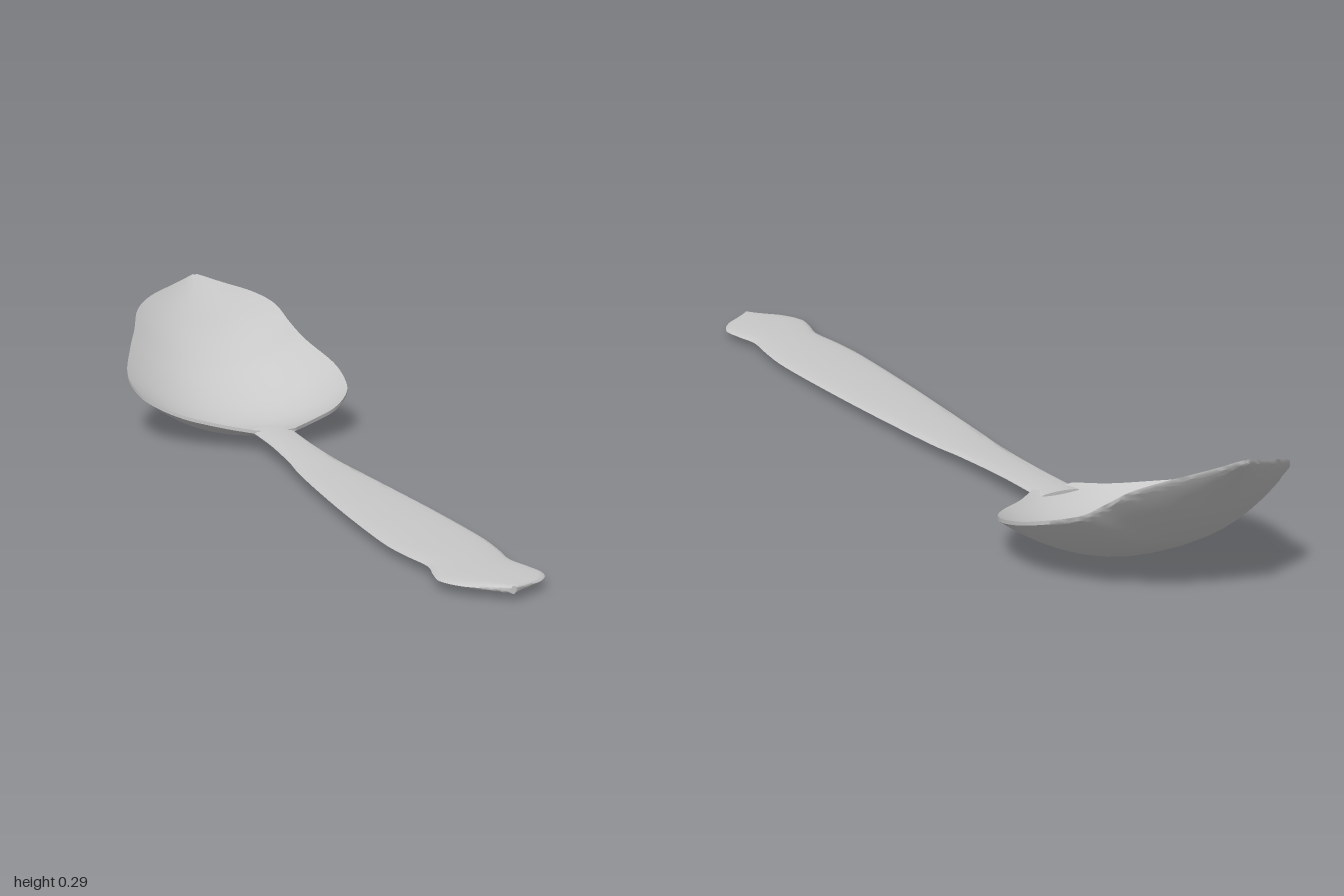
import * as THREE from 'three';
import { toCreasedNormals } from 'three/addons/utils/BufferGeometryUtils.js';

// Skin a list of closed rings (counterclockwise seen from +z, ordered towards +z)
function loft(rings, crease) {
  const n = rings[0].length;
  const centre = (ring) => {
    const c = ring.reduce((s, p) => s.add(p), new THREE.Vector3()).divideScalar(n);
    return ring.map(() => c);
  };
  const all = [centre(rings[0]), ...rings, centre(rings[rings.length - 1])];
  const pos = all.flat().flatMap((p) => [p.x, p.y, p.z]);
  const idx = [];
  for (let i = 0; i < all.length - 1; i++) {
    for (let j = 0; j < n; j++) {
      const a = i * n + j, b = i * n + ((j + 1) % n);
      if (i > 0) idx.push(a, b, b + n);
      if (i < all.length - 2) idx.push(a, b + n, a + n);
      if (i === 0) idx.push(a, b + n, a + n);
      if (i === all.length - 2) idx.push(a, b, b + n);
    }
  }
  const g = new THREE.BufferGeometry();
  g.setAttribute('position', new THREE.Float32BufferAttribute(pos, 3));
  // the end fans may repeat a triangle; keep each one once
  const seen = new Set(), clean = [];
  for (let k = 0; k < idx.length; k += 3) {
    const key = idx.slice(k, k + 3).join();
    if (!seen.has(key)) { seen.add(key); clean.push(idx[k], idx[k + 1], idx[k + 2]); }
  }
  g.setIndex(clean);
  return toCreasedNormals(g, crease);
}

// Smooth stations from rows of [z, half width, low y, high y]
function stations(rows, count) {
  const low = new THREE.CatmullRomCurve3(rows.map((r) => new THREE.Vector3(r[1], r[2], r[0])), false, 'catmullrom', 0.5);
  const high = new THREE.CatmullRomCurve3(rows.map((r) => new THREE.Vector3(r[1], r[3], r[0])), false, 'catmullrom', 0.5);
  return Array.from({ length: count + 1 }, (_, i) => {
    const a = low.getPoint(i / count), b = high.getPoint(i / count);
    return { z: a.z, w: Math.max(a.x, 0.002), lo: a.y, hi: b.y };
  });
}

export function createModel() {
  const group = new THREE.Group();
  const metal = new THREE.MeshStandardMaterial({ color: 0xc8c8c8 });
  metal.name = 'brushed metal';

  // Bowl: thin dished shell, low = underside of keel, high = rim
  const bowlRows = [
    [-1, 0.004, 0.279, 0.287], [-0.975, 0.055, 0.248, 0.27], [-0.94, 0.118, 0.205, 0.25],
    [-0.9, 0.158, 0.157, 0.226], [-0.85, 0.178, 0.108, 0.19], [-0.8, 0.2, 0.07, 0.157],
    [-0.7, 0.231, 0.021, 0.121], [-0.62, 0.232, 0.002, 0.097], [-0.55, 0.214, 0.001, 0.079],
    [-0.48, 0.165, 0.01, 0.06], [-0.42, 0.095, 0.023, 0.047], [-0.37, 0.043, 0.03, 0.042],
  ];
  const half = 20;
  const bowlRings = stations(bowlRows, 55).map(({ z, w, lo, hi }) => {
    const ring = [];
    const thick = Math.min(0.009, (hi - lo) * 0.8);
    for (let j = 0; j <= half; j++) {
      const u = Math.cos((j / half) * Math.PI);
      const floor = lo + thick;
      ring.push(new THREE.Vector3(w * u, floor + (hi - floor) * Math.abs(u) ** 2.2, z));
    }
    for (let j = 0; j <= half; j++) {
      const u = -Math.cos((j / half) * Math.PI);
      ring.push(new THREE.Vector3(w * u, lo + (hi - 0.007 - lo) * Math.abs(u) ** 2.2, z));
    }
    return ring;
  });
  const bowl = new THREE.Mesh(loft(bowlRings, 0.8), metal);
  bowl.name = 'bowl';

  // Handle: flat lens-shaped bar with a flared, pointed end
  const handleRows = [
    [-0.4, 0.043, 0.029, 0.042], [-0.25, 0.042, 0.024, 0.037], [-0.1, 0.049, 0.018, 0.031],
    [0, 0.059, 0.014, 0.028], [0.2, 0.073, 0.011, 0.026], [0.4, 0.084, 0.009, 0.025],
    [0.6, 0.09, 0.007, 0.024], [0.7, 0.085, 0.007, 0.024], [0.79, 0.075, 0.007, 0.024],
    [0.85, 0.086, 0.007, 0.024], [0.9, 0.092, 0.007, 0.024], [0.945, 0.072, 0.008, 0.024],
    [0.975, 0.038, 0.009, 0.024], [1, 0.004, 0.01, 0.024],
  ];
  const handleRings = stations(handleRows, 65).map(({ z, w, lo, hi }) =>
    Array.from({ length: 24 }, (_, j) => {
      const a = (j / 24) * Math.PI * 2, s = Math.sin(a);
      const y = (lo + hi) / 2 + ((hi - lo) / 2) * Math.sign(s) * Math.abs(s) ** 0.9;
      return new THREE.Vector3(w * Math.cos(a), y, z);
    }));
  const handle = new THREE.Mesh(loft(handleRings, 0.8), metal);
  handle.name = 'handle';

  group.add(bowl, handle);
  return group;
}
